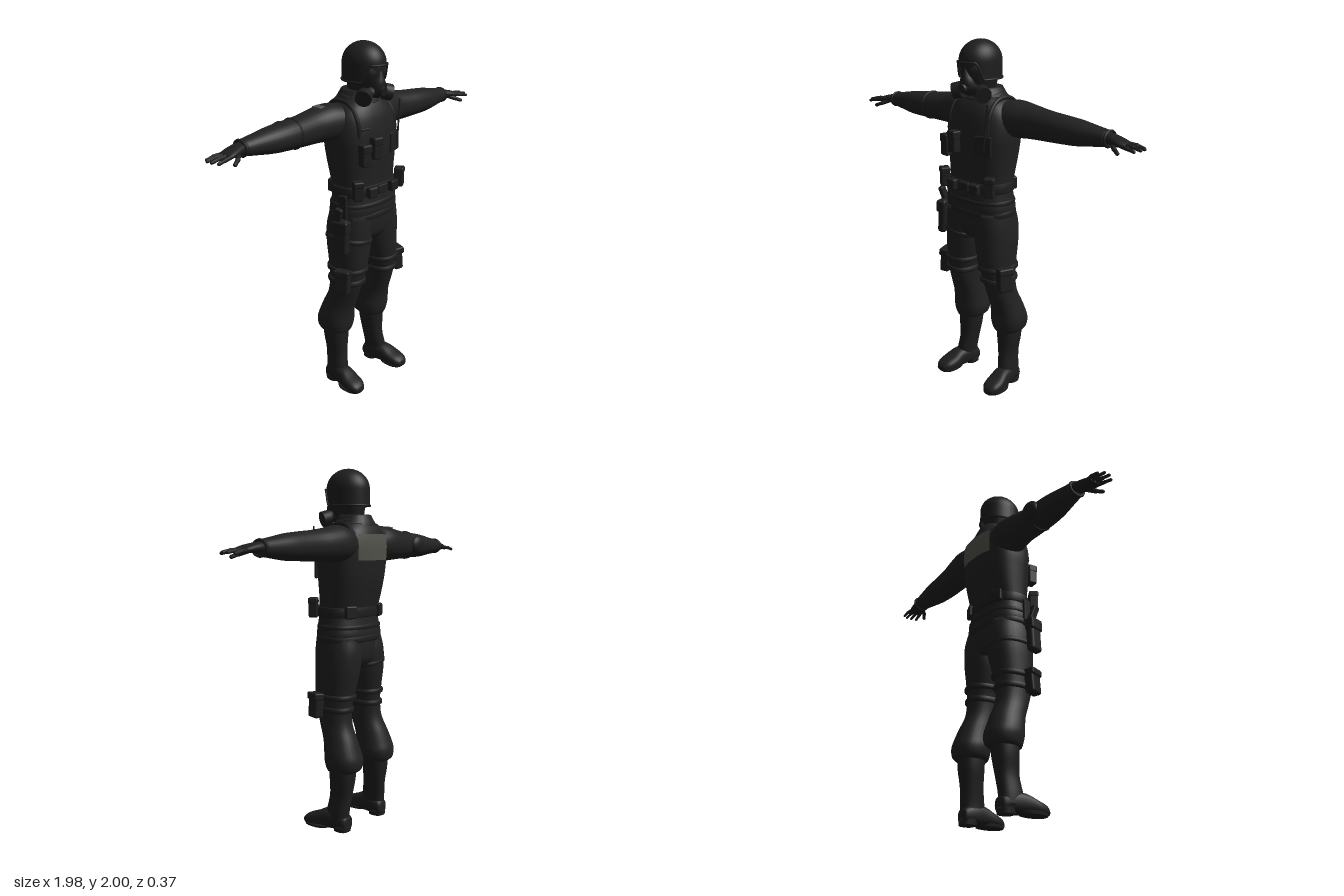
import * as THREE from 'three';
import { RoundedBoxGeometry } from 'three/addons/geometries/RoundedBoxGeometry.js';

const mat = (name, color) => {
  const m = new THREE.MeshStandardMaterial({ color, side: THREE.DoubleSide });
  m.name = name;
  return m;
};

export function createModel() {
  const root = new THREE.Group();
  root.name = 'tacticalOfficer';
  const cloth = mat('blackCloth', 0x212121);
  const gear = mat('blackGear', 0x1e1e1e);
  const lens = mat('darkLens', 0x2a2a2b);
  const grey = mat('greyPatch', 0x52524b);

  const add = (name, geo, material, pos = [0, 0, 0], rot = [0, 0, 0]) => {
    const m = new THREE.Mesh(geo, material);
    m.name = name;
    m.position.set(...pos);
    m.rotation.set(...rot);
    root.add(m);
    return m;
  };

  // Smooth skin through rings [t, centreA, centreB, radiusA, radiusB] along an axis:
  // y: A=x B=z, x: A=z B=y, z: A=y B=x. t must increase.
  const order = { x: ['z', 'y'], y: ['x', 'z'], z: ['y', 'x'] };
  function loft(rings, axis = 'y', p = 0.88, seg = 28, sub = 4) {
    const spline = f => new THREE.CatmullRomCurve3(rings.map(f), false, 'catmullrom', 0.5);
    const C = spline(r => new THREE.Vector3(r[0], r[1], r[2]));
    const R = spline(r => new THREE.Vector3(r[3], r[4], 0));
    const n = (rings.length - 1) * sub, pos = [], idx = [];
    const pw = v => Math.sign(v) * Math.abs(v) ** p;
    const put = (t, a, b) => {
      const v = { [axis]: t, [order[axis][0]]: a, [order[axis][1]]: b };
      pos.push(v.x, v.y, v.z);
    };
    for (let i = 0; i <= n; i++) {
      const c = C.getPoint(i / n), r = R.getPoint(i / n);
      for (let j = 0; j < seg; j++) {
        const a = j / seg * Math.PI * 2;
        put(c.x, c.y + r.x * pw(Math.cos(a)), c.z + r.y * pw(Math.sin(a)));
      }
    }
    const first = rings[0], last = rings[rings.length - 1], k = (n + 1) * seg;
    put(first[0], first[1], first[2]);
    put(last[0], last[1], last[2]);
    for (let j = 0; j < seg; j++) {
      const j2 = (j + 1) % seg;
      for (let i = 0; i < n; i++) {
        const a = i * seg + j, b = i * seg + j2;
        idx.push(a, a + seg, b, b, a + seg, b + seg);
      }
      idx.push(k, j, j2, k + 1, n * seg + j2, n * seg + j);
    }
    const g = new THREE.BufferGeometry();
    g.setAttribute('position', new THREE.Float32BufferAttribute(pos, 3));
    g.setIndex(idx);
    g.computeVertexNormals();
    return g;
  }
  // Band around the body: a closed tube on an ellipse, stretched tall
  const band = (name, y, cx, cz, rx, rz, h, thick = 0.01, tilt = 0) => {
    const ring = loft([[-h / 2, 0, 0, rx, rz], [-h / 2 + 0.006, 0, 0, rx + thick, rz + thick],
      [h / 2 - 0.006, 0, 0, rx + thick, rz + thick], [h / 2, 0, 0, rx, rz]], 'y', 0.86, 32, 2);
    return add(name, ring, gear, [cx, y, cz], [0, 0, tilt]);
  };
  const box = (name, size, pos, rot, r = 0.009, m = gear) =>
    add(name, new RoundedBoxGeometry(...size, 2, r), m, pos, rot);
  const rod = (name, a, b, r, m = gear) => {
    const A = new THREE.Vector3(...a), B = new THREE.Vector3(...b), d = B.clone().sub(A);
    const c = add(name, new THREE.CapsuleGeometry(r, d.length(), 4, 10), m, A.clone().add(B).multiplyScalar(0.5).toArray());
    c.quaternion.setFromUnitVectors(new THREE.Vector3(0, 1, 0), d.normalize());
    return c;
  };

  // Torso, vest layer and collar
  add('torso', loft([[1.05, 0, -0.003, 0.2, 0.13], [1.1, 0, 0, 0.208, 0.138], [1.15, 0, 0.002, 0.2, 0.132],
    [1.22, 0, 0.002, 0.19, 0.124], [1.3, 0, -0.008, 0.195, 0.134], [1.4, 0, -0.016, 0.205, 0.148],
    [1.5, 0, -0.02, 0.214, 0.155], [1.6, 0, -0.03, 0.204, 0.152], [1.66, 0, -0.033, 0.175, 0.133],
    [1.705, 0, -0.035, 0.12, 0.105]], 'y', 0.8, 40), cloth);
  add('collar', loft([[1.64, 0, -0.035, 0.15, 0.125], [1.69, 0, -0.035, 0.128, 0.115],
    [1.72, 0, -0.04, 0.1, 0.1], [1.75, 0, -0.04, 0.082, 0.085]]), cloth);
  add('collarFold', new THREE.TorusGeometry(0.095, 0.017, 10, 32), cloth, [0, 1.705, -0.025], [Math.PI / 2 + 0.2, 0, 0]);
  add('pelvis', loft([[0.92, 0, -0.008, 0.1, 0.1], [0.96, 0, -0.006, 0.17, 0.125],
    [1.02, 0, -0.004, 0.2, 0.133], [1.1, 0, 0, 0.2, 0.132]]), cloth);
  band('jacketHem', 1.075, 0, -0.001, 0.205, 0.134, 0.035, 0.007);
  band('lowerBelt', 1.14, 0, 0.001, 0.2, 0.131, 0.03, 0.008);
  band('belt', 1.222, 0, 0.002, 0.19, 0.124, 0.058, 0.011);

  // Back panel follows the curve of the back
  const panel = new THREE.PlaneGeometry(0.26, 0.14, 12, 6);
  const pp = panel.attributes.position;
  for (let i = 0; i < pp.count; i++) {
    const u = pp.getX(i) / 0.205, y = pp.getY(i);
    const depth = 0.153 * (1 - Math.abs(u) ** 2.5) ** 0.4;
    pp.setZ(i, depth + 0.03 - 1.3 * Math.max(0, y) ** 2 - 0.05 * Math.max(0, -y));
  }
  panel.computeVertexNormals();
  add('backPanel', panel, grey, [0, 1.575, -0.003], [0, Math.PI, 0]);

  // Head, gas mask and helmet
  add('head', loft([[1.68, 0, -0.02, 0.06, 0.065], [1.73, 0, -0.005, 0.064, 0.08], [1.78, 0, 0.008, 0.076, 0.098],
    [1.84, 0, 0.012, 0.09, 0.112], [1.9, 0, 0.012, 0.09, 0.112], [1.95, 0, 0.01, 0.06, 0.08]]), gear);
  add('maskMuzzle', loft([[1.715, 0, 0.085, 0.025, 0.025], [1.745, 0, 0.09, 0.044, 0.046],
    [1.79, 0, 0.092, 0.042, 0.054], [1.83, 0, 0.09, 0.025, 0.046], [1.86, 0, 0.09, 0.012, 0.036]]), gear);
  add('maskValve', new THREE.CylinderGeometry(0.024, 0.028, 0.025, 20), gear, [0, 1.755, 0.138], [Math.PI / 2 + 0.2, 0, 0]);

  const rimDrop = nz => 0.088 * (1 - THREE.MathUtils.smoothstep(nz, 0.5, 0.82));
  const dome = new THREE.SphereGeometry(1, 48, 24, 0, Math.PI * 2, 0, Math.PI * 0.62);
  const dp = dome.attributes.position;
  const low = Math.cos(Math.PI * 0.62);
  for (let i = 0; i < dp.count; i++) {
    let x = dp.getX(i), y = dp.getY(i), z = dp.getZ(i);
    if (y < 0) {
      const l = Math.hypot(x, z);
      x /= l; z /= l;
      y = -rimDrop(z) * (y / low);
    } else y *= 0.112;
    dp.setXYZ(i, x * 0.106, y, z * 0.127);
  }
  dome.computeVertexNormals();
  add('helmet', dome, gear, [0, 1.888, 0.007]);
  const rim = [];
  for (let i = 0; i < 60; i++) {
    const a = i / 60 * Math.PI * 2, z = Math.cos(a);
    rim.push(new THREE.Vector3(Math.sin(a) * 0.106, 1.888 - rimDrop(z), 0.007 + z * 0.128 + Math.max(0, z - 0.6) * 0.02));
  }
  add('helmetRim', new THREE.TubeGeometry(new THREE.CatmullRomCurve3(rim, true), 120, 0.006, 8, true), gear);

  const leg = s => [[0.345, s * 0.152, -0.075, 0.078, 0.088], [0.365, s * 0.15, -0.08, 0.092, 0.1],
    [0.41, s * 0.15, -0.078, 0.1, 0.106], [0.46, s * 0.15, -0.068, 0.094, 0.1], [0.52, s * 0.146, -0.05, 0.084, 0.095],
    [0.6, s * 0.14, -0.018, 0.076, 0.093], [0.7, s * 0.134, 0, 0.08, 0.104], [0.8, s * 0.122, 0, 0.094, 0.119],
    [0.9, s * 0.112, -0.006, 0.106, 0.13], [1, s * 0.106, -0.006, 0.106, 0.134], [1.08, s * 0.1, 0, 0.1, 0.125]];
  const arm = [[0.1, -0.045, 1.59, 0.11, 0.085], [0.2, -0.065, 1.594, 0.106, 0.099], [0.3, -0.073, 1.589, 0.092, 0.089],
    [0.4, -0.066, 1.585, 0.084, 0.08], [0.5, -0.062, 1.583, 0.081, 0.074], [0.6, -0.065, 1.58, 0.075, 0.067],
    [0.7, -0.069, 1.578, 0.06, 0.052], [0.785, -0.072, 1.577, 0.047, 0.039]];
  const palm = [[0.75, -0.071, 1.578, 0.034, 0.026], [0.8, -0.067, 1.58, 0.042, 0.025],
    [0.86, -0.055, 1.573, 0.048, 0.02], [0.9, -0.05, 1.566, 0.043, 0.012]];
  // Knuckle, middle joint and tip for each finger
  const fingers = [
    [[0.88, -0.088, 1.568], [0.925, -0.095, 1.564], [0.962, -0.096, 1.555]],
    [[0.89, -0.064, 1.57], [0.94, -0.066, 1.567], [0.982, -0.066, 1.56]],
    [[0.89, -0.04, 1.57], [0.94, -0.036, 1.567], [0.981, -0.033, 1.56]],
    [[0.88, -0.018, 1.568], [0.925, -0.01, 1.562], [0.963, -0.005, 1.555]],
    [[0.82, -0.04, 1.566], [0.855, -0.005, 1.55], [0.885, 0.012, 1.537]]];

  for (const s of [1, -1]) {
    const side = s > 0 ? 'left' : 'right';
    const mirrorX = r => s > 0 ? r : r.map(([t, ...q]) => [-t, ...q]).reverse();
    // Arm, cuff and gloved hand
    add(side + 'Arm', loft(mirrorX(arm), 'x', 0.95), cloth);
    add(side + 'Cuff', new THREE.TorusGeometry(0.042, 0.008, 8, 24).scale(1.1, 0.92, 1), gear, [s * 0.782, 1.577, -0.072], [0, Math.PI / 2, 0]);
    add(side + 'Palm', loft(mirrorX(palm), 'x'), gear);
    fingers.forEach((f, i) => {
      const q = f.map(([x, z, y]) => [s * x, y, z]), r = i === 4 ? 0.0125 : 0.0105;
      rod(side + 'FingerBase', q[0], q[1], r);
      rod(side + 'FingerTip', q[1], q[2], r * 0.82);
    });
    // Leg, thigh straps and thigh pouch
    add(side + 'Trouser', loft(leg(s)), cloth);
    band(side + 'KneeStrap', 0.685, s * 0.135, -0.001, 0.079, 0.102, 0.034);
    band(side + 'ThighStrap', 0.755, s * 0.128, 0, 0.087, 0.111, 0.032);
    box(side + 'ThighPouch', [0.055, 0.135, 0.085], [s * 0.228, 0.71, 0.055], [0, s * -0.35, s * 0.08], 0.012);
    box(side + 'ThighPouchFlap', [0.06, 0.04, 0.092], [s * 0.231, 0.762, 0.056], [0, s * -0.35, s * 0.08]);
    // Boot
    add(side + 'BootShaft', loft([[0.04, s * 0.17, -0.06, 0.048, 0.062], [0.1, s * 0.17, -0.052, 0.047, 0.069],
      [0.2, s * 0.158, -0.065, 0.05, 0.066], [0.3, s * 0.155, -0.073, 0.064, 0.073], [0.4, s * 0.152, -0.075, 0.068, 0.078]]), gear);
    add(side + 'BootFoot', loft([[-0.124, 0.045, s * 0.165, 0.03, 0.03], [-0.11, 0.05, s * 0.166, 0.042, 0.043],
      [-0.05, 0.06, s * 0.17, 0.055, 0.05], [0.02, 0.06, s * 0.179, 0.054, 0.052], [0.08, 0.046, s * 0.187, 0.041, 0.058],
      [0.13, 0.037, s * 0.191, 0.031, 0.05], [0.158, 0.03, s * 0.193, 0.016, 0.028]], 'z', 0.8), gear);
    add(side + 'Sole', loft([[0.008, s * 0.189, 0.075, 0.054, 0.08], [0.024, s * 0.189, 0.075, 0.057, 0.083]], 'y', 0.85), gear);
    add(side + 'Heel', loft([[0, s * 0.168, -0.08, 0.042, 0.044], [0.03, s * 0.168, -0.08, 0.045, 0.046]], 'y', 0.75), gear);
    // Mask filter canister and lens
    const can = add(side + 'Filter', new THREE.CylinderGeometry(0.044, 0.044, 0.045, 28), gear, [s * 0.092, 1.73, 0.09]);
    can.quaternion.setFromUnitVectors(new THREE.Vector3(0, 1, 0), new THREE.Vector3(s * 0.82, -0.25, 0.45).normalize());
    rod(side + 'FilterNeck', [s * 0.025, 1.757, 0.095], [s * 0.085, 1.735, 0.088], 0.026);
    add(side + 'Lens', new THREE.SphereGeometry(1, 20, 12).scale(0.028, 0.024, 0.008), lens, [s * 0.042, 1.86, 0.109], [0, s * 0.42, 0]);
    // Shoulder strap of the vest
    add(side + 'ShoulderStrap', new THREE.TubeGeometry(new THREE.CatmullRomCurve3([
      [0.14, 1.52, 0.105], [0.14, 1.62, 0.085], [0.135, 1.69, 0.02], [0.135, 1.695, -0.08], [0.14, 1.64, -0.145]]
      .map(([x, y, z]) => new THREE.Vector3(s * x, y, z))), 24, 0.012, 8), gear);
    // Belt pouches on the front corners and at the back
    box(side + 'BeltPouch', [0.055, 0.11, 0.05], [s * 0.17, 1.245, 0.118], [0, s * 0.55, 0]);
    box(side + 'BeltPouchFlap', [0.06, 0.035, 0.055], [s * 0.171, 1.282, 0.119], [0, s * 0.55, 0]);
    box(side + 'SmallPouch', [0.062, 0.06, 0.035], [s * 0.085, 1.222, 0.145], [0, s * 0.12, 0]);
    box(side + 'BackPouch', [0.07, 0.07, 0.03], [s * 0.13, 1.225, -0.112], [0, s * -0.4, 0]);
  }
  box('buckle', [0.075, 0.05, 0.02], [0, 1.222, 0.14], [0, 0, 0], 0.006);

  // Chest magazine pouches, radio and aerial
  for (const [x, y, z] of [[-0.133, 1.435, 0.134], [-0.062, 1.465, 0.148]]) {
    box('chestPouch', [0.058, 0.12, 0.05], [x, y, z], [0, -0.15, 0]);
    box('chestPouchFlap', [0.062, 0.045, 0.056], [x, y + 0.038, z + 0.001], [0, -0.15, 0]);
  }
  box('radioPocket', [0.1, 0.11, 0.016], [0.12, 1.46, 0.118], [0, 0.3, 0], 0.006);
  rod('aerial', [0.135, 1.44, 0.128], [0.16, 1.685, 0.122], 0.005);
  box('chestTag', [0.055, 0.012, 0.008], [-0.105, 1.565, 0.114], [-0.1, -0.2, 0], 0.003);

  // Holster with pistol on the right hip
  box('holster', [0.05, 0.2, 0.085], [-0.238, 0.985, 0.06], [0, 0.25, -0.05], 0.018);
  box('holsterFlap', [0.058, 0.07, 0.095], [-0.24, 1.045, 0.06], [0, 0.25, -0.05], 0.012);
  box('pistolGrip', [0.028, 0.095, 0.042], [-0.254, 1.11, 0.05], [0.3, 0.2, 0.1], 0.008);
  box('holsterHanger', [0.018, 0.16, 0.05], [-0.205, 1.13, 0.04], [0, 0.2, 0], 0.006);
  band('holsterStrap', 0.93, -0.112, -0.004, 0.104, 0.126, 0.03, 0.009, -0.16);

  // Right elbow pad, armband and shoulder patch
  add('elbowPad', new THREE.SphereGeometry(1, 28, 18).scale(0.06, 0.055, 0.03), gear, [-0.48, 1.583, -0.142]);
  add('elbowStrap', new THREE.TorusGeometry(0.078, 0.007, 8, 32).scale(1.02, 0.97, 1), gear, [-0.46, 1.584, -0.063], [0, Math.PI / 2, 0]);
  box('shoulderPatch', [0.038, 0.008, 0.06], [-0.262, 1.684, -0.072], [0, 0, 0.07], 0.003, grey);

  return root;
}
